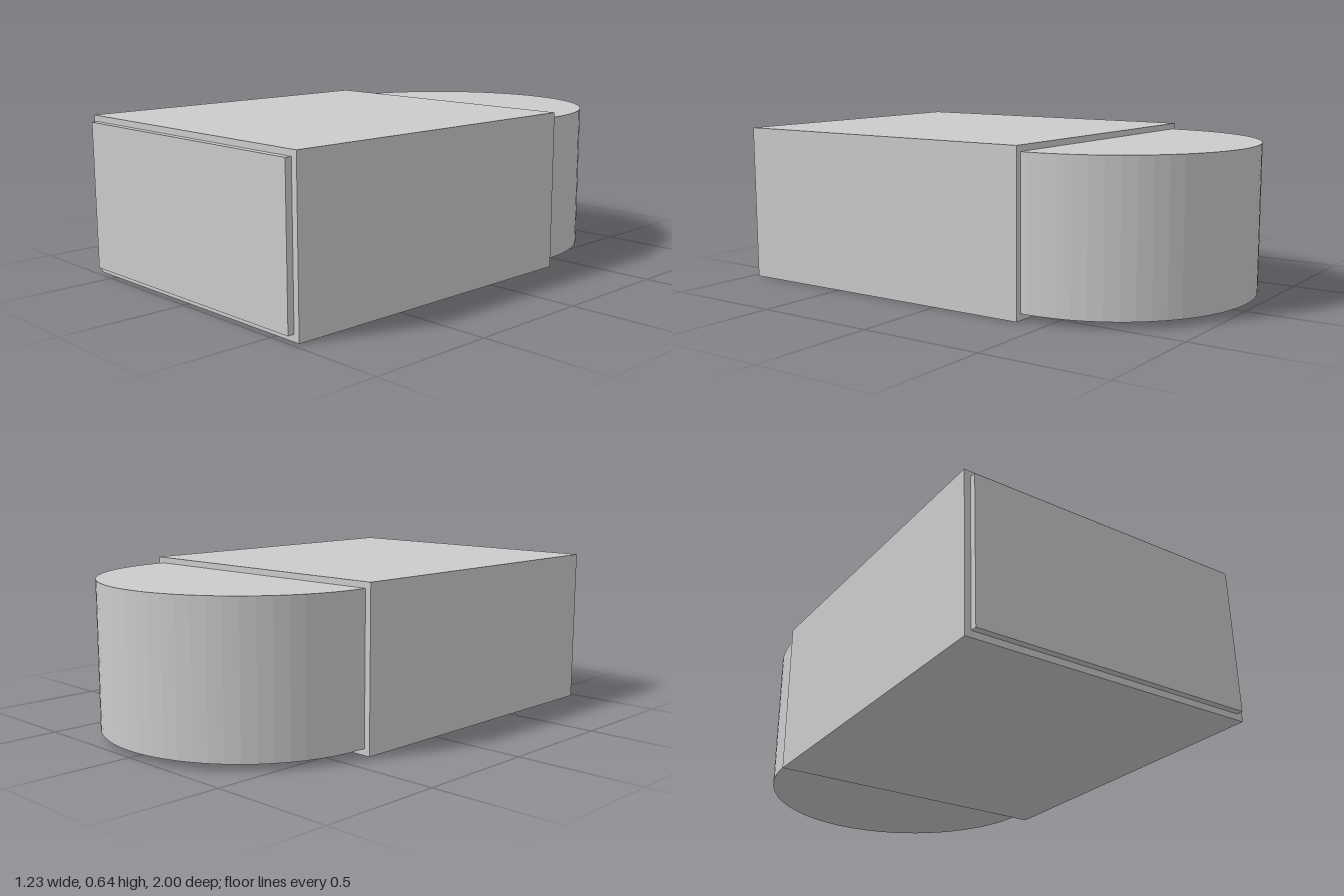
import * as THREE from 'three';

export function createModel() {
  const group = new THREE.Group();
  const material = new THREE.MeshStandardMaterial({ color: 0xcccccc, flatShading: true });

  // Arched core: flat front end, faceted half-round back, running through the sleeve
  const radius = 0.59, arcCentre = 0.41;
  const arch = new THREE.Shape();
  arch.moveTo(-radius, -1);
  arch.lineTo(radius, -1);
  arch.lineTo(radius, arcCentre);
  arch.absarc(0, arcCentre, radius, 0, Math.PI, false);
  arch.closePath();
  const coreGeometry = new THREE.ExtrudeGeometry(arch, { depth: 0.59, bevelEnabled: false, curveSegments: 16 });
  coreGeometry.rotateX(-Math.PI / 2); // shape +y becomes -z, depth becomes height
  const core = new THREE.Mesh(coreGeometry, material);
  core.name = 'archedCore';
  core.position.y = 0.026;
  group.add(core);

  // Rectangular sleeve around the straight part of the core
  const back = -0.383, front = 0.974;
  const sleeve = new THREE.Mesh(new THREE.BoxGeometry(1.23, 0.64, front - back), material);
  sleeve.name = 'sleeve';
  sleeve.position.set(0, 0.32, (front + back) / 2);
  group.add(sleeve);

  return group;
}
